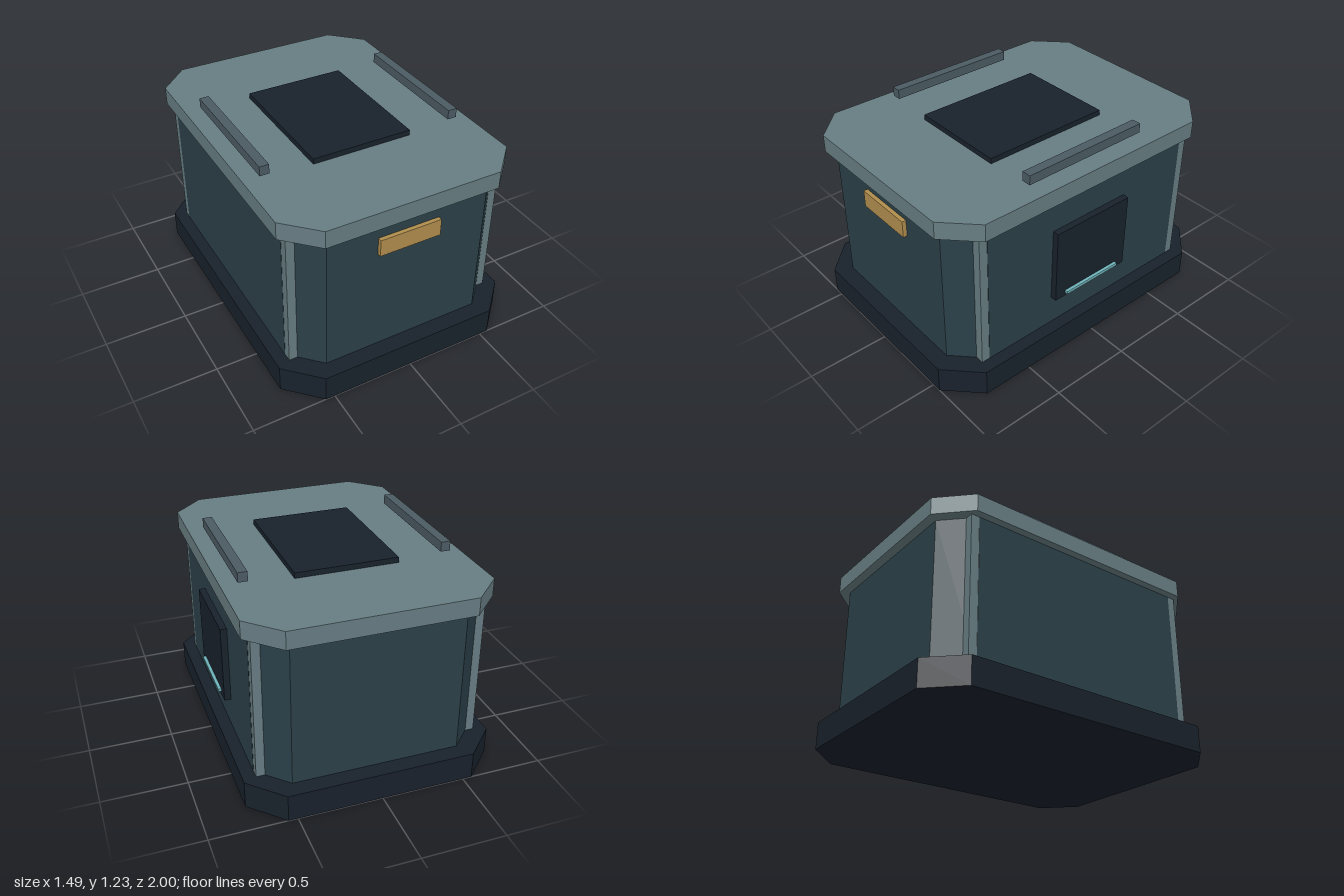
import * as THREE from 'three';

const mat = (color) => new THREE.MeshStandardMaterial({ color, flatShading: true });

export function createModel() {
  const group = new THREE.Group();
  const dark = mat(0x18212b), wall = mat(0x2b4048), pale = mat(0x677d82);
  const steel = mat(0x4b5b63), brass = mat(0xb08d4d), cyan = mat(0x6fb4bb);

  const add = (name, geometry, material) => {
    const mesh = new THREE.Mesh(geometry, material);
    mesh.name = name;
    group.add(mesh);
    return mesh;
  };

  // Octagonal slab with half sizes x, z, corner cut c, between heights y0 and y1
  const slab = (name, x, z, c, y0, y1, material) => {
    const outline = [
      [x, c - z], [x, z - c], [x - c, z], [c - x, z],
      [-x, z - c], [-x, c - z], [c - x, -z], [x - c, -z],
    ].map(([a, b]) => new THREE.Vector2(a, b));
    const geometry = new THREE.ExtrudeGeometry(new THREE.Shape(outline), { depth: y1 - y0, bevelEnabled: false });
    geometry.rotateX(-Math.PI / 2).translate(0, y0, 0);
    add(name, geometry, material);
  };

  // Box given by its limits on each axis
  const box = (name, [x0, x1], [y0, y1], [z0, z1], material) => {
    const mesh = add(name, new THREE.BoxGeometry(x1 - x0, y1 - y0, z1 - z0), material);
    mesh.position.set((x0 + x1) / 2, (y0 + y1) / 2, (z0 + z1) / 2);
  };

  // Main stack
  slab('base', 0.745, 1, 0.19, 0, 0.165, dark);
  slab('body', 0.67, 0.9, 0.172, 0.165, 1.04, wall);
  slab('roof', 0.715, 0.955, 0.182, 1.04, 1.147, pale);

  // Corner posts and roof rails, mirrored left and right
  for (const sx of [-1, 1]) {
    const span = (a, b) => (sx > 0 ? [a, b] : [-b, -a]);
    box('cornerPost', span(0.56, 0.669), [0.165, 1.04], [0.62, 0.78], pale);
    box('cornerPost', span(0.56, 0.669), [0.165, 1.04], [-0.78, -0.62], pale);
    box('roofRail', span(0.57, 0.627), [1.174, 1.232], [-0.41, 0.41], steel);
  }

  // Roof hatch, side panel with its light strip, front plate
  box('roofHatch', [-0.309, 0.309], [1.147, 1.18], [-0.41, 0.41], dark);
  box('sidePanel', [0.66, 0.709], [0.355, 0.83], [-0.272, 0.272], dark);
  box('lightStrip', [0.705, 0.728], [0.376, 0.395], [-0.2, 0.2], cyan);
  box('frontPlate', [-0.19, 0.19], [0.83, 0.935], [0.89, 0.925], brass);

  return group;
}
